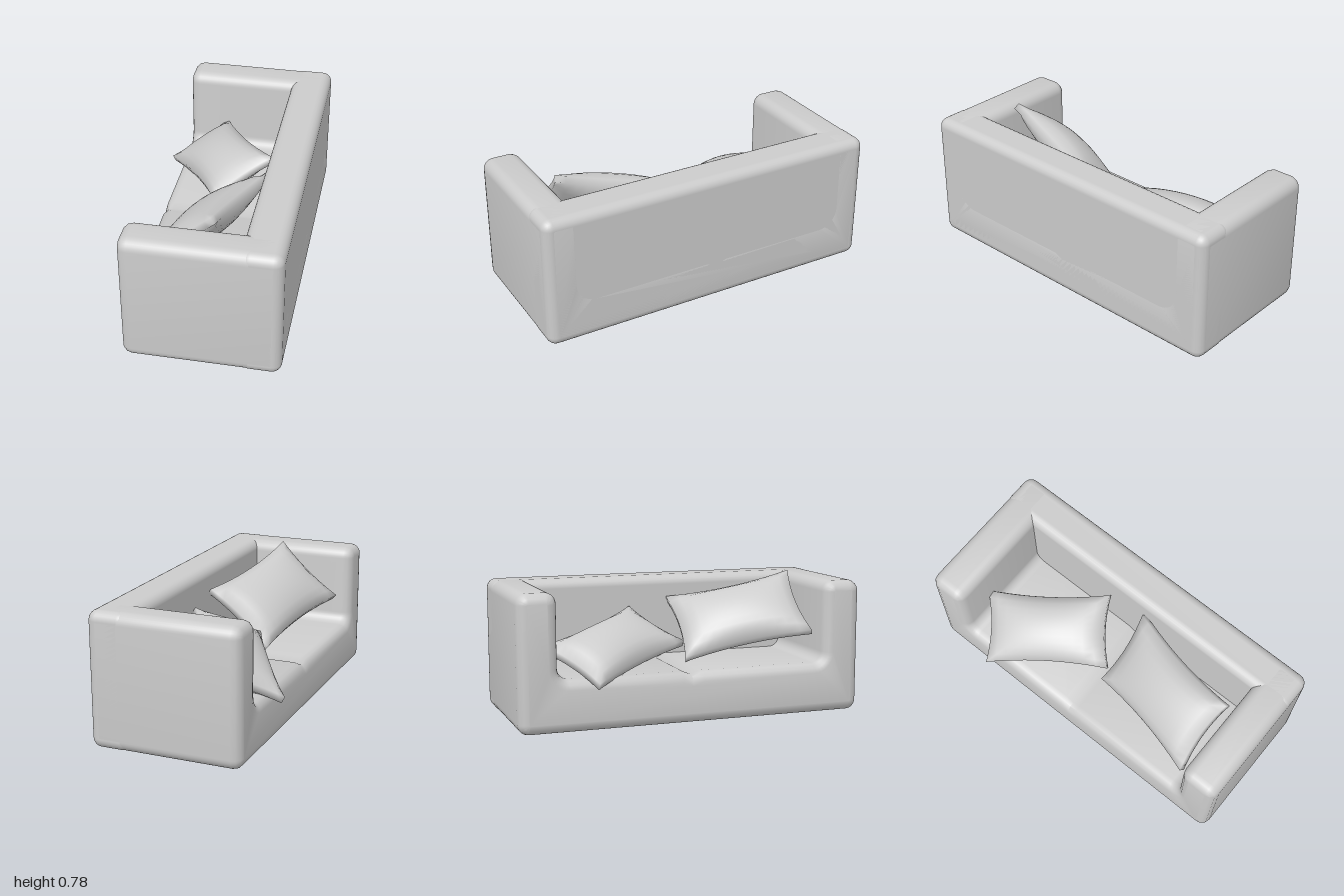
import * as THREE from 'three';
import { mergeVertices, toCreasedNormals } from 'three/addons/utils/BufferGeometryUtils.js';
import { RoundedBoxGeometry } from 'three/addons/geometries/RoundedBoxGeometry.js';

const material = new THREE.MeshStandardMaterial({ color: 0xcccccc });
const BEVEL = 0.055;

function addMesh(group, name, geometry) {
  const mesh = new THREE.Mesh(geometry, material);
  mesh.name = name;
  group.add(mesh);
  return mesh;
}

// Closed outline from [x, y, cornerRadius] points, with arcs at the corners
function roundedShape(points) {
  const shape = new THREE.Shape();
  const n = points.length;
  points.forEach(([x, y, r], i) => {
    const p = new THREE.Vector2(x, y);
    const toward = (q) => new THREE.Vector2(q[0], q[1]).sub(p).normalize();
    const d1 = toward(points[(i + n - 1) % n]);
    const d2 = toward(points[(i + 1) % n]);
    const a = p.clone().addScaledVector(d1, r);
    if (i === 0) shape.moveTo(a.x, a.y);
    else shape.lineTo(a.x, a.y);
    if (r > 0) {
      const c = a.clone().addScaledVector(d2, r);
      const start = Math.atan2(-d2.y, -d2.x);
      const end = Math.atan2(-d1.y, -d1.x);
      shape.absarc(c.x, c.y, r, start, end, d1.cross(d2) > 0);
    }
  });
  shape.closePath();
  return shape;
}

// Arms and seat: one U-shaped section swept from the back to the open side
function bodyGeometry() {
  const r = 0.062, seat = 0.29;
  const shape = roundedShape([
    [-1, 0, r], [1, 0, r], [1, 0.76, r], [0.78, 0.76, r], [0.78, seat, r],
    [0.03, seat, 0], [-0.02, seat - 0.02, 0], [-0.07, seat, 0], // seam between cushions
    [-0.78, seat, r], [-0.78, 0.76, r], [-1, 0.76, r],
  ]);
  const geometry = new THREE.ExtrudeGeometry(shape, {
    depth: 0.86 - 2 * BEVEL, curveSegments: 4,
    bevelSize: BEVEL, bevelThickness: BEVEL, bevelOffset: -BEVEL, bevelSegments: 3,
  });
  geometry.rotateY(-Math.PI / 2).translate(0.47 - BEVEL, 0, 0);
  return toCreasedNormals(geometry, 0.8);
}

// Pillow: a box pinched at the sides and puffed in the middle,
// spanned by a corner and its two neighbours
function pillowGeometry(corner, alongLong, alongShort) {
  const c = new THREE.Vector3(...corner);
  const u = new THREE.Vector3(...alongLong).sub(c).multiplyScalar(0.5);
  const v = new THREE.Vector3(...alongShort).sub(c).multiplyScalar(0.5);
  const w = u.clone().cross(v).normalize();
  const centre = c.clone().add(u).add(v);
  let geometry = new THREE.BoxGeometry(2, 2, 2, 12, 10, 1);
  const pos = geometry.attributes.position;
  const p = new THREE.Vector3();
  for (let i = 0; i < pos.count; i++) {
    const a = pos.getX(i), b = pos.getY(i), side = pos.getZ(i);
    const bulge = Math.pow((1 - a * a) * (1 - b * b), 0.6);
    p.copy(centre)
      .addScaledVector(u, a * (1 - 0.07 * (1 - b * b)))
      .addScaledVector(v, b * (1 - 0.12 * (1 - a * a)))
      .addScaledVector(w, side * (0.02 + 0.085 * bulge));
    pos.setXYZ(i, p.x, p.y, p.z);
  }
  geometry.deleteAttribute('uv');
  geometry.deleteAttribute('normal');
  geometry = mergeVertices(geometry);
  geometry.computeVertexNormals();
  return geometry;
}

export function createModel() {
  const sofa = new THREE.Group();
  sofa.name = 'sofa';

  addMesh(sofa, 'armsAndSeat', bodyGeometry());
  addMesh(sofa, 'backrest', new RoundedBoxGeometry(0.23, 0.76, 2, 3, BEVEL))
    .position.set(0.355, 0.38, 0);

  // Loose pillows leaning on the backrest
  addMesh(sofa, 'pillowUpright',
    pillowGeometry([-0.12, 0.31, 0.03], [-0.3, 0.46, 0.74], [0.24, 0.62, 0.04]));
  addMesh(sofa, 'pillowSlouched',
    pillowGeometry([-0.46, 0.26, -0.58], [-0.08, 0.4, 0.03], [-0.15, 0.43, -0.81]));

  return sofa;
}
